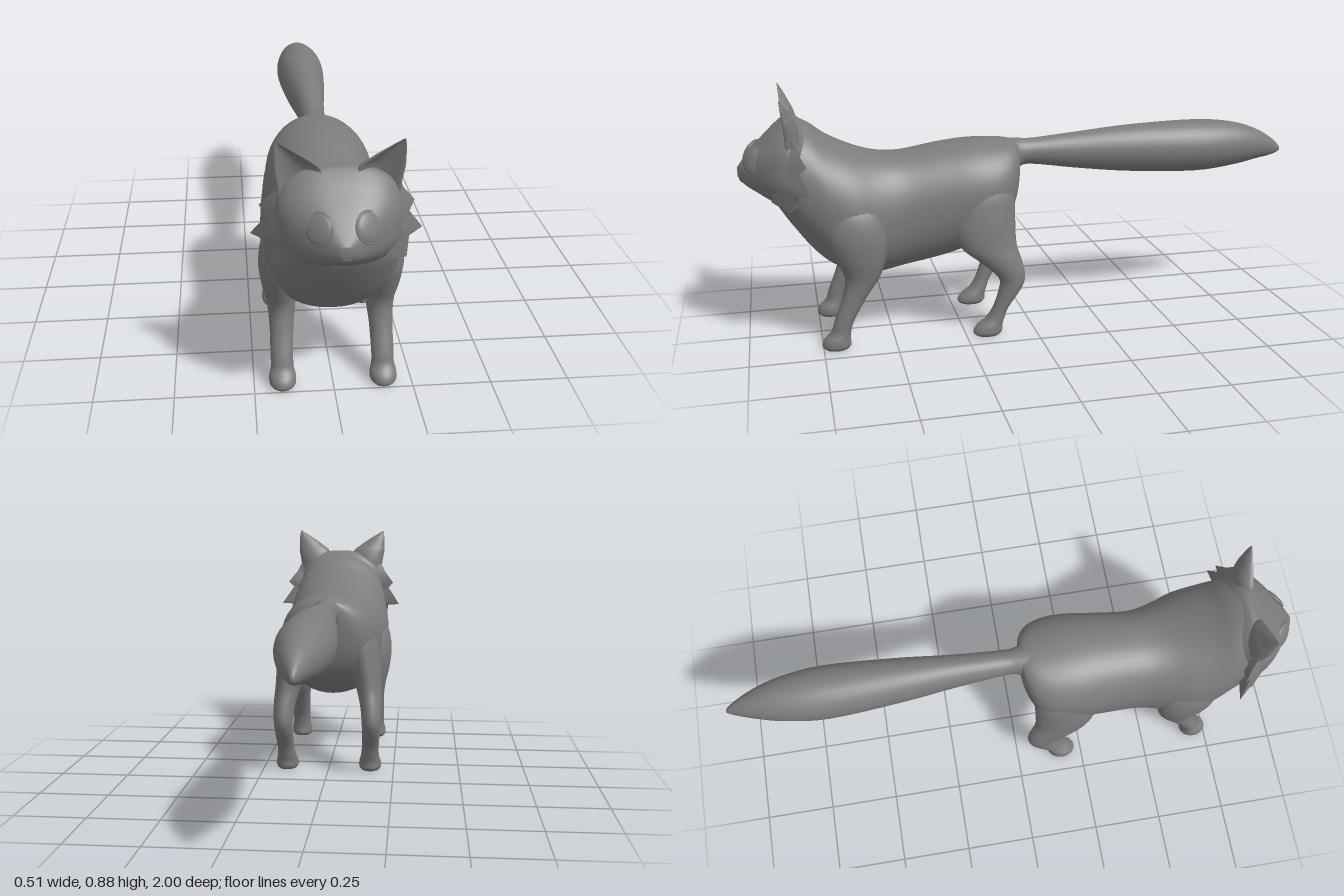
import * as THREE from 'three';

const material = new THREE.MeshStandardMaterial({ color: 0x7c7c7c });
const thinMaterial = new THREE.MeshStandardMaterial({ color: 0x7c7c7c, side: THREE.DoubleSide });

// Catmull-Rom blend of section rows
function refine(rows, steps) {
  const out = [];
  const n = rows.length - 1;
  for (let i = 0; i < n; i++) {
    const a = rows[Math.max(i - 1, 0)], b = rows[i], c = rows[i + 1], d = rows[Math.min(i + 2, n)];
    for (let k = 0; k < steps; k++) {
      const t = k / steps;
      out.push(b.map((p, m) => {
        const cubic = 3 * (p - c[m]) + d[m] - a[m];
        const square = 2 * a[m] - 5 * p + 4 * c[m] - d[m];
        return p + 0.5 * t * (c[m] - a[m] + t * (square + t * cubic));
      }));
    }
  }
  out.push(rows[n]);
  return out;
}

function skin(name, pos, index, mat) {
  const g = new THREE.BufferGeometry();
  g.setAttribute('position', new THREE.Float32BufferAttribute(pos, 3));
  g.setIndex(index);
  g.computeVertexNormals();
  const mesh = new THREE.Mesh(g, mat);
  mesh.name = name;
  return mesh;
}

// Closed skin over sections [cx, cy, cz, rx, r2], ascending along axis 'z' or 'y'
function loft(name, rows, axis, { power = 2, sides = 32, dent = 0 } = {}) {
  const rings = refine(rows, 4);
  const pos = [], index = [];
  const soft = v => Math.sign(v) * Math.abs(v) ** (2 / power);
  rings.forEach(([cx, cy, cz, ra, rb]) => {
    for (let j = 0; j < sides; j++) {
      const t = (j / sides) * Math.PI * 2;
      const x = cx + ra * soft(Math.cos(t)), s = soft(Math.sin(t));
      if (axis === 'z') pos.push(x, cy + rb * s, cz);
      else pos.push(x, cy, cz - rb * (s < 0 ? s + dent * s * s : s));
    }
  });
  for (let i = 0; i < rings.length - 1; i++) {
    for (let j = 0; j < sides; j++) {
      const k = (j + 1) % sides;
      const a = i * sides + j, b = i * sides + k, c = b + sides, d = a + sides;
      index.push(a, b, c, a, c, d);
    }
  }
  // End caps
  const first = pos.length / 3, top = (rings.length - 1) * sides;
  pos.push(...rings[0].slice(0, 3), ...rings[rings.length - 1].slice(0, 3));
  for (let j = 0; j < sides; j++) {
    const k = (j + 1) % sides;
    index.push(first, k, j, first + 1, top + j, top + k);
  }
  return skin(name, pos, index, material);
}

// Profile rows [z, bottom, top, halfWidth] to sections
const alongZ = rows => rows.map(([z, b, t, w]) => [0, (b + t) / 2, z, w, (t - b) / 2]);
// Mirror rows to the given side
const onSide = (rows, s) => rows.map(([x, ...rest]) => [x * s, ...rest]);

function ellipsoid(name, p, r) {
  const mesh = new THREE.Mesh(new THREE.SphereGeometry(1, 28, 18), material);
  mesh.name = name;
  mesh.position.set(...p);
  mesh.scale.set(...r);
  return mesh;
}

// Smooth ribbon between two rows of points
function ribbon(name, a, b, s) {
  const index = [], n = a.length;
  for (let i = 0; i < n - 1; i++) {
    const quad = [i, n + i, n + i + 1, i, n + i + 1, i + 1];
    index.push(...(s > 0 ? quad.reverse() : quad));
  }
  return skin(name, onSide([...a, ...b], s).flat(), index, thinMaterial);
}

// Jagged cheek fur: face root, zigzag edge and neck root
function cheekFur(name, s) {
  const front = [[.135, .735, .86], [.145, .70, .875], [.15, .66, .885], [.152, .63, .886],
    [.152, .595, .886], [.143, .56, .888], [.115, .525, .893]];
  const edge = [[.176, .735, .815], [.19, .705, .80], [.226, .66, .775], [.207, .635, .80],
    [.253, .567, .767], [.206, .563, .815], [.197, .505, .835]];
  const back = front.map(([, y]) => [.15, y, .79]);
  const group = new THREE.Group();
  group.name = name;
  group.add(ribbon('furFront', front, edge, s), ribbon('furBack', edge, back, s));
  return group;
}

// Flattened eyeball with a raised lid rim, turned outward
function eye(name, s) {
  const group = new THREE.Group();
  group.name = name;
  const ball = ellipsoid('eyeball', [0, 0, 0], [.045, .045, .014]);
  const rim = new THREE.Mesh(new THREE.TorusGeometry(.045, .004, 8, 32), material);
  rim.name = 'eyelid';
  group.add(ball, rim);
  group.position.set(.07 * s, .657, .945);
  group.lookAt(.64 * s, 1.017, 1.685);
  return group;
}

export function createModel() {
  const model = new THREE.Group();
  model.name = 'cat';

  // Torso, from rump to throat
  model.add(loft('body', alongZ([
    [.026, .57, .64, .025], [.032, .52, .662, .07], [.048, .45, .67, .115], [.08, .385, .676, .153],
    [.14, .33, .68, .178], [.22, .295, .68, .184], [.32, .265, .67, .176], [.45, .24, .65, .17],
    [.54, .225, .655, .19], [.62, .23, .68, .212], [.7, .27, .72, .208], [.76, .325, .765, .194],
    [.82, .405, .787, .177], [.86, .465, .75, .145], [.885, .508, .7, .1],
  ]), 'z', { power: 2.2, sides: 48 }));

  // Tail
  model.add(loft('tail', alongZ([
    [-1, .57, .588, .006], [-.97, .557, .618, .022], [-.9, .545, .66, .05], [-.8, .527, .692, .077],
    [-.65, .514, .706, .093], [-.4, .527, .7, .077], [-.2, .55, .684, .056], [-.03, .575, .67, .044],
    [.02, .568, .672, .048], [.05, .53, .674, .07], [.1, .5, .675, .1],
  ]), 'z'));

  // Head with soft muzzle
  const head = new THREE.Group();
  head.name = 'head';
  head.add(loft('skull', alongZ([
    [.75, .55, .74, .12], [.785, .51, .775, .16], [.82, .497, .793, .183], [.86, .497, .767, .176],
    [.9, .516, .73, .147], [.935, .538, .697, .108], [.965, .556, .665, .068], [.985, .573, .64, .038],
    [.998, .592, .623, .014],
  ]), 'z', { power: 2.6, sides: 48 }));
  head.add(ellipsoid('muzzle', [0, .59, .962], [.038, .028, .034]));
  model.add(head);

  const ear = [
    [.112, .7, .83, .06, .045], [.114, .75, .832, .064, .043], [.119, .79, .836, .066, .036],
    [.133, .815, .84, .052, .027], [.155, .845, .845, .03, .016], [.178, .876, .85, .003, .002],
  ];
  const frontLeg = [
    [.16, 0, .705, .034, .04], [.16, .012, .705, .042, .05], [.16, .035, .702, .042, .045],
    [.16, .06, .688, .036, .034], [.16, .1, .675, .036, .034], [.158, .18, .637, .038, .042],
    [.157, .25, .607, .046, .06], [.163, .32, .61, .056, .085], [.163, .4, .622, .064, .105],
    [.148, .48, .632, .066, .1], [.11, .56, .64, .06, .06],
  ];
  const hindLeg = [
    [.16, 0, .175, .034, .043], [.16, .012, .173, .042, .052], [.16, .035, .165, .041, .045],
    [.16, .06, .145, .035, .033], [.162, .1, .125, .032, .028], [.165, .165, .092, .034, .04],
    [.166, .21, .085, .036, .048], [.163, .27, .122, .042, .074], [.153, .33, .165, .05, .1],
    [.137, .42, .178, .06, .112], [.115, .52, .165, .064, .1], [.08, .6, .15, .05, .06],
  ];

  // Paired parts
  for (const [label, s] of [['left', 1], ['right', -1]]) {
    head.add(loft(label + 'Ear', onSide(ear, s), 'y', { dent: 1.5 }));
    head.add(eye(label + 'Eye', s));
    head.add(cheekFur(label + 'CheekFur', s));
    model.add(loft(label + 'FrontLeg', onSide(frontLeg, s), 'y', { sides: 24 }));
    model.add(loft(label + 'HindLeg', onSide(hindLeg, s), 'y', { sides: 24 }));
  }
  return model;
}
